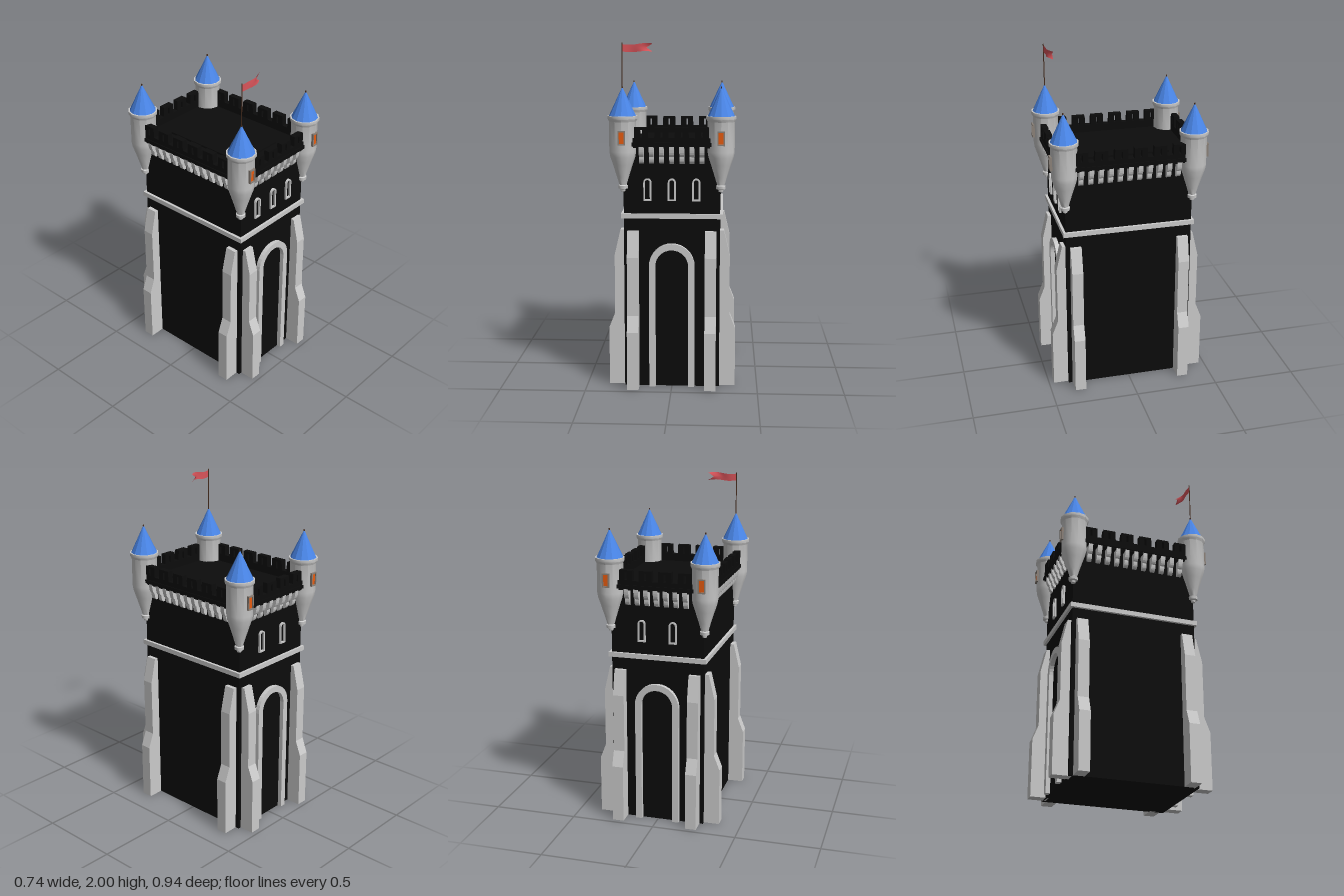
import * as THREE from 'three';
import { toCreasedNormals } from 'three/addons/utils/BufferGeometryUtils.js';

const paint = (color, extra = {}) => new THREE.MeshStandardMaterial({ color, ...extra });
const stone = paint(0xcccccc);
const black = paint(0x0c0c0c);
const blue = paint(0x4a86e8, { flatShading: true });
const orange = paint(0xe85c10);
const frameMat = paint(0x8c8279);
const wood = paint(0x4a2f20);
const red = paint(0xd9545a, { side: THREE.DoubleSide });

const HX = 0.28, HZ = 0.38;      // half size of the tower body
const STEP = 0.0575;             // corbel spacing; a merlon every second step

function add(parent, name, geometry, material, x = 0, y = 0, z = 0) {
  const mesh = new THREE.Mesh(geometry, material);
  mesh.name = name;
  mesh.position.set(x, y, z);
  parent.add(mesh);
  return mesh;
}

function block(parent, name, material, hx, hz, y0, y1) {
  return add(parent, name, new THREE.BoxGeometry(hx * 2, y1 - y0, hz * 2), material, 0, (y0 + y1) / 2, 0);
}

// Profile drawn as (outward, height), extruded sideways and centred on x = 0
function sideProfile(shape, width) {
  const geo = new THREE.ExtrudeGeometry(shape, { depth: width, bevelEnabled: false, curveSegments: 5 });
  return geo.translate(0, 0, -width / 2).rotateY(-Math.PI / 2);
}

// Round-topped outline standing on y = 0
function archPath(path, r, spring, y0 = 0) {
  path.moveTo(r, y0);
  path.lineTo(r, spring);
  path.absarc(0, spring, r, 0, Math.PI, false);
  path.lineTo(-r, y0);
  path.closePath();
  return path;
}

function extrude(shape, depth, curveSegments = 8) {
  return new THREE.ExtrudeGeometry(shape, { depth, bevelEnabled: false, curveSegments });
}

// Door surround, open at the ground
function doorGeometry() {
  const s = new THREE.Shape();
  s.moveTo(0.132, 0);
  s.lineTo(0.132, 0.725);
  s.absarc(0, 0.725, 0.132, 0, Math.PI, false);
  s.lineTo(-0.132, 0);
  s.lineTo(-0.095, 0);
  s.lineTo(-0.095, 0.725);
  s.absarc(0, 0.725, 0.095, Math.PI, 0, true);
  s.lineTo(0.095, 0);
  s.closePath();
  return extrude(s, 0.028);
}

function windowGeometry() {
  const s = archPath(new THREE.Shape(), 0.023, 0.107);
  s.holes.push(archPath(new THREE.Path(), 0.014, 0.107, 0.009));
  return extrude(s, 0.014, 6);
}

// Parapet wall with crenels and a slit through each merlon
function parapetGeometry(half) {
  const s = new THREE.Shape();
  s.moveTo(-half, 1.42);
  s.lineTo(half, 1.42);
  s.lineTo(half, 1.47);
  for (let k = 6; k >= -6; k -= 2) {
    const c = k * STEP;
    if (Math.abs(c) + 0.02 > half) continue;
    for (const [x, y] of [[0.02, 1.47], [0.018, 1.53], [-0.018, 1.53], [-0.02, 1.47]]) {
      // the notch between merlons is cut down from the top line
      s.lineTo(c + x, y === 1.47 ? 1.53 : 1.47);
    }
  }
  s.lineTo(-half, 1.47);
  s.closePath();
  for (let k = -5; k <= 5; k += 2) {
    const c = k * STEP;
    if (Math.abs(c) + 0.04 > half) continue;
    const slit = new THREE.Path();
    slit.moveTo(c - 0.006, 1.474);
    slit.lineTo(c - 0.006, 1.516);
    slit.lineTo(c + 0.006, 1.516);
    slit.lineTo(c + 0.006, 1.474);
    slit.closePath();
    s.holes.push(slit);
  }
  return extrude(s, 0.035);
}

function buttressGeometry() {
  const pts = [[-0.02, 0], [0.09, 0], [0.09, 0.345], [0.055, 0.435], [0.055, 0.78], [0.02, 0.93], [-0.02, 0.93]];
  return sideProfile(new THREE.Shape(pts.map(p => new THREE.Vector2(...p))), 0.066);
}

function corbelGeometry() {
  const s = new THREE.Shape();
  s.moveTo(-0.01, 1.32);
  s.lineTo(0.008, 1.32);
  s.quadraticCurveTo(0.024, 1.33, 0.024, 1.36);
  s.quadraticCurveTo(0.042, 1.37, 0.044, 1.42);
  s.lineTo(-0.01, 1.42);
  s.closePath();
  return sideProfile(s, 0.027);
}

// Corner turret; the window faces local +z
function makeTurret() {
  const g = new THREE.Group();
  g.name = 'cornerTurret';
  const profile = [[0, 1.155], [0.013, 1.16], [0.015, 1.172], [0.027, 1.176], [0.028, 1.194], [0.021, 1.198],
    [0.035, 1.245], [0.057, 1.315], [0.072, 1.36], [0.077, 1.39], [0.077, 1.56], [0.086, 1.575], [0.086, 1.592], [0, 1.592]];
  const body = new THREE.LatheGeometry(profile.map(p => new THREE.Vector2(...p)), 12);
  add(g, 'turretBody', toCreasedNormals(body, 0.6), stone);
  add(g, 'turretRoof', new THREE.ConeGeometry(0.078, 0.165, 12), blue, 0, 1.6725, 0);
  add(g, 'finial', new THREE.CylinderGeometry(0.004, 0.004, 0.02, 6), wood, 0, 1.747, 0);
  const frame = new THREE.Shape();
  frame.moveTo(-0.021, 1.43);
  frame.lineTo(0.021, 1.43);
  frame.lineTo(0.021, 1.512);
  frame.lineTo(-0.021, 1.512);
  frame.closePath();
  const hole = new THREE.Path();
  hole.moveTo(-0.014, 1.438);
  hole.lineTo(-0.014, 1.504);
  hole.lineTo(0.014, 1.504);
  hole.lineTo(0.014, 1.438);
  hole.closePath();
  frame.holes.push(hole);
  add(g, 'turretWindowFrame', extrude(frame, 0.02), frameMat, 0, 0, 0.065);
  add(g, 'turretWindowPane', new THREE.BoxGeometry(0.03, 0.068, 0.012), orange, 0, 1.471, 0.073);
  return g;
}

// Swallow-tailed pennant rippling along x
function flagGeometry() {
  const geo = new THREE.PlaneGeometry(1, 1, 16, 2);
  const p = geo.attributes.position;
  for (let i = 0; i < p.count; i++) {
    const u = p.getX(i) + 0.5, v = p.getY(i);
    const notch = 0.035 * (1 - 2 * Math.abs(v)) * u * u;
    const z = -0.009 * Math.sin(u * 7) * (0.4 + 0.6 * u) - 0.02 * u * u * u;
    p.setXYZ(i, u * 0.172 - notch, v * (0.04 + 0.006 * u) - 0.004 * Math.sin(u * 6), z);
  }
  geo.computeVertexNormals();
  return geo;
}

export function createModel() {
  const tower = new THREE.Group();
  tower.name = 'castleTower';

  // Body, string course and roof platform
  block(tower, 'towerBody', black, HX - 0.003, HZ, 0, 1.42);
  block(tower, 'stringCourse', stone, 0.293, 0.395, 1.003, 1.031);
  block(tower, 'roofFloor', black, 0.322, 0.422, 1.412, 1.425);
  block(tower, 'roofPlatform', black, 0.16, 0.27, 1.425, 1.437);

  const buttress = buttressGeometry(), corbel = corbelGeometry();
  const door = doorGeometry(), slit = windowGeometry();

  // The four faces, each built facing local +z and turned into place
  ['front', 'left', 'back', 'right'].forEach((label, k) => {
    const face = new THREE.Group();
    face.name = label + 'Face';
    face.rotation.y = k * Math.PI / 2;
    tower.add(face);
    const end = k % 2 === 0;
    const d = end ? HZ : HX, half = end ? HX : HZ;

    for (const s of [-1, 1]) add(face, 'buttress', buttress, stone, s * (half - 0.056), 0, d);
    const n = end ? 3 : 5;
    for (let i = -n; i <= n; i++) add(face, 'corbel', corbel, stone, i * STEP, 0, d);
    add(face, 'parapet', parapetGeometry(half + 0.045), black, 0, 0, d + 0.01);
    add(face, 'parapetLip', new THREE.BoxGeometry(half * 2 + 0.1, 0.022, 0.02), black, 0, 1.433, d + 0.04);

    if (end) {
      add(face, 'doorArch', door, stone, 0, 0, d - 0.002);
      for (const x of k === 0 ? [-0.14, 0, 0.14] : [-0.093, 0.093]) {
        add(face, 'windowFrame', slit, stone, x, 1.105, d - 0.002);
      }
    }
  });

  // Turrets, with windows looking to the front and the back
  for (const sx of [-1, 1]) for (const sz of [-1, 1]) {
    const turret = makeTurret();
    turret.position.set(sx * HX, 0, sz * HZ);
    if (sz < 0) turret.rotation.y = Math.PI;
    tower.add(turret);
  }

  // Flag on the front turret
  add(tower, 'flagPole', new THREE.CylinderGeometry(0.003, 0.003, 0.27, 6), wood, -HX, 1.865, HZ);
  add(tower, 'flag', flagGeometry(), red, -HX, 1.972, HZ);

  return tower;
}
